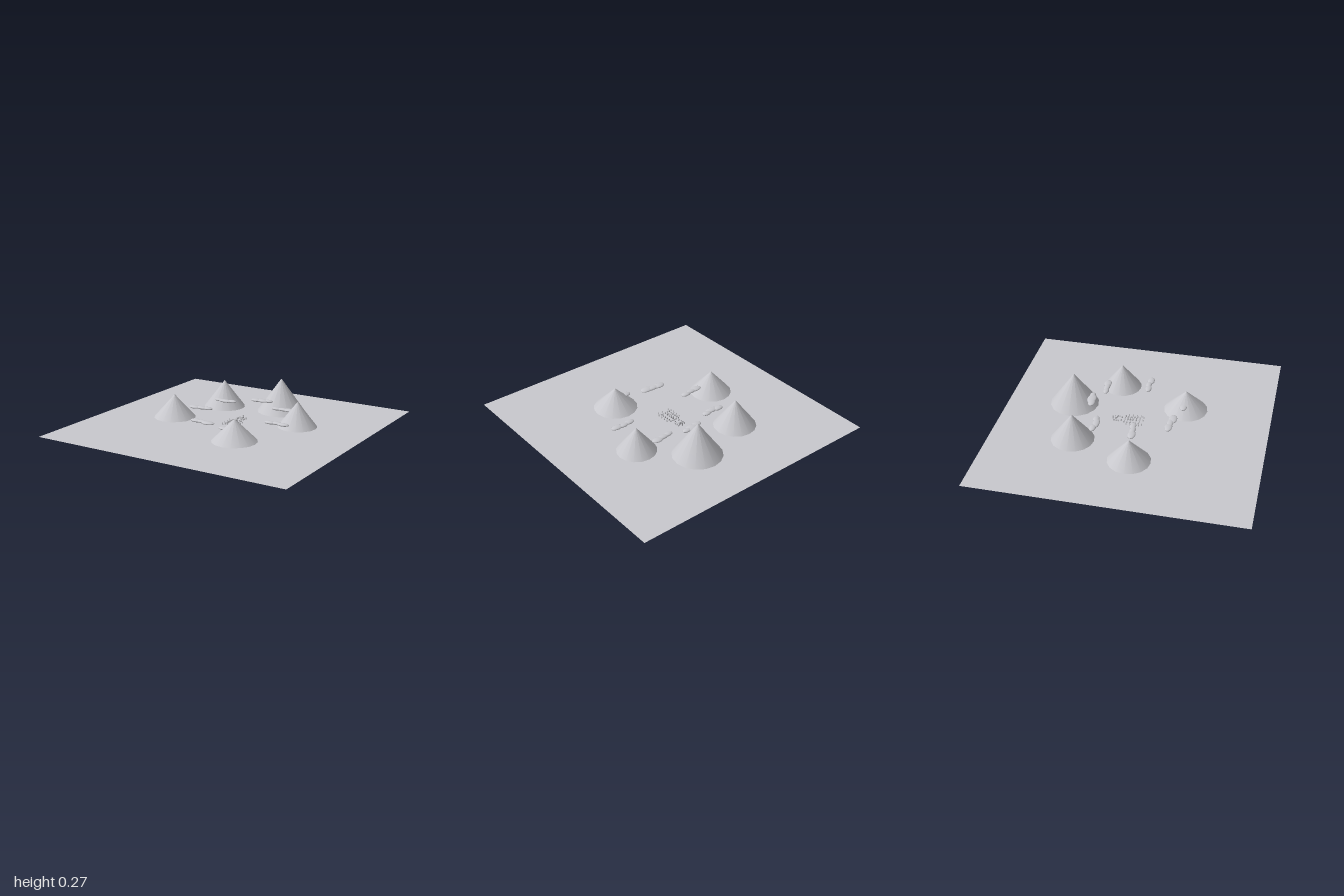
import * as THREE from 'three';

const stone = new THREE.MeshStandardMaterial({ color: 0xc8c8cd, side: THREE.DoubleSide });
stone.name = 'pale grey';

const GROUND = 0.011;

// mountains: x, z, radius, height
const MOUNTAINS = [
  [-0.31, -0.39, 0.169, 0.222],
  [0.14, -0.497, 0.193, 0.27],
  [0.445, -0.19, 0.156, 0.2],
  [-0.472, 0.067, 0.168, 0.187],
  [0.234, 0.35, 0.177, 0.174],
];

// clouds: height, then puffs as [x, z, half width, half depth]
const CLOUDS = [
  [0.1, [[-0.268, -0.249, 0.043, 0.024], [-0.212, -0.238, 0.058, 0.026], [-0.157, -0.25, 0.037, 0.024]]],
  [0.118, [[0.014, -0.329, 0.043, 0.026], [0.062, -0.34, 0.058, 0.034], [0.11, -0.345, 0.038, 0.022]]],
  [0.094, [[0.223, -0.27, 0.037, 0.021], [0.276, -0.275, 0.053, 0.022], [0.325, -0.28, 0.046, 0.029]]],
  [0.083, [[0.34, 0.037, 0.043, 0.024], [0.394, 0.03, 0.043, 0.022], [0.448, 0.037, 0.048, 0.027]]],
  [0.108, [[-0.301, 0.048, 0.048, 0.029], [-0.248, 0.043, 0.053, 0.022], [-0.194, 0.035, 0.04, 0.024]]],
  [0.088, [[-0.13, 0.283, 0.048, 0.029], [-0.076, 0.286, 0.058, 0.024], [-0.023, 0.297, 0.053, 0.032]]],
  [0.087, [[0.147, 0.345, 0.045, 0.027], [0.2, 0.35, 0.05, 0.024], [0.25, 0.345, 0.045, 0.025]]],
];

export function createModel() {
  const model = new THREE.Group();
  model.name = 'mountainScene';

  const add = (name, geometry, x, y, z, parent = model) => {
    const mesh = new THREE.Mesh(geometry, stone);
    mesh.name = name;
    mesh.position.set(x, y, z);
    parent.add(mesh);
    return mesh;
  };
  const group = (name) => {
    const g = new THREE.Group();
    g.name = name;
    model.add(g);
    return g;
  };

  // flat ground sheet
  add('ground', new THREE.PlaneGeometry(2, 2).rotateX(-Math.PI / 2), 0, GROUND, 0);

  // ring of mountains, with feet just below the ground
  for (const [x, z, r, h] of MOUNTAINS) {
    add('mountain', new THREE.ConeGeometry(r, h, 16), x, h / 2, z);
  }

  // clouds of three flattened puffs
  const puff = new THREE.SphereGeometry(1, 16, 10);
  for (const [y, puffs] of CLOUDS) {
    const cloud = group('cloud');
    for (const [x, z, w, d] of puffs) add('puff', puff, x, y, z, cloud).scale.set(w, 0.011, d);
  }

  // tiny settlement in the middle
  const village = group('village');
  const block = (name, x, z, w, h, d) =>
    add(name, new THREE.BoxGeometry(w, h, d), x, GROUND + h / 2, z, village);

  // main court: posts along both sides and ends
  for (let i = 0; i < 6; i++) {
    const z = -0.07 + i * 0.022;
    for (const s of [-1, 1]) block('courtPost', s * 0.036, z, 0.009, 0.014, 0.009);
  }
  for (const x of [-0.018, 0, 0.018]) {
    block('endPost', x, -0.07, 0.008, 0.012, 0.008);
    block('endPost', x, 0.04, 0.008, 0.012, 0.008);
  }
  // middle row of small towers
  for (const z of [-0.05, -0.03, -0.012, 0.015]) {
    block('tower', 0, z, 0.012, 0.016, 0.01);
    add('towerRoof', new THREE.ConeGeometry(0.008, 0.012, 6), 0, GROUND + 0.022, z, village);
  }
  // rear court
  for (const z of [-0.15, -0.13, -0.115]) {
    for (const s of [-1, 1]) block('rearPost', s * 0.027, z, 0.009, 0.014, 0.009);
  }
  block('rearHall', 0, -0.137, 0.022, 0.02, 0.012);
  block('rearTower', 0, -0.16, 0.009, 0.028, 0.009);
  for (const x of [-0.018, 0.016]) block('gatePost', x, -0.095, 0.008, 0.014, 0.008);

  // scattered outer trees
  const tree = new THREE.ConeGeometry(0.006, 0.018, 6);
  for (const z of [-0.05, -0.02, 0.012, 0.045]) {
    for (const s of [-1, 1]) add('tree', tree, s * 0.058, GROUND + 0.009, z, village);
  }
  for (const x of [-0.045, 0.012, 0.045]) add('tree', tree, x, GROUND + 0.009, 0.064, village);

  return model;
}
